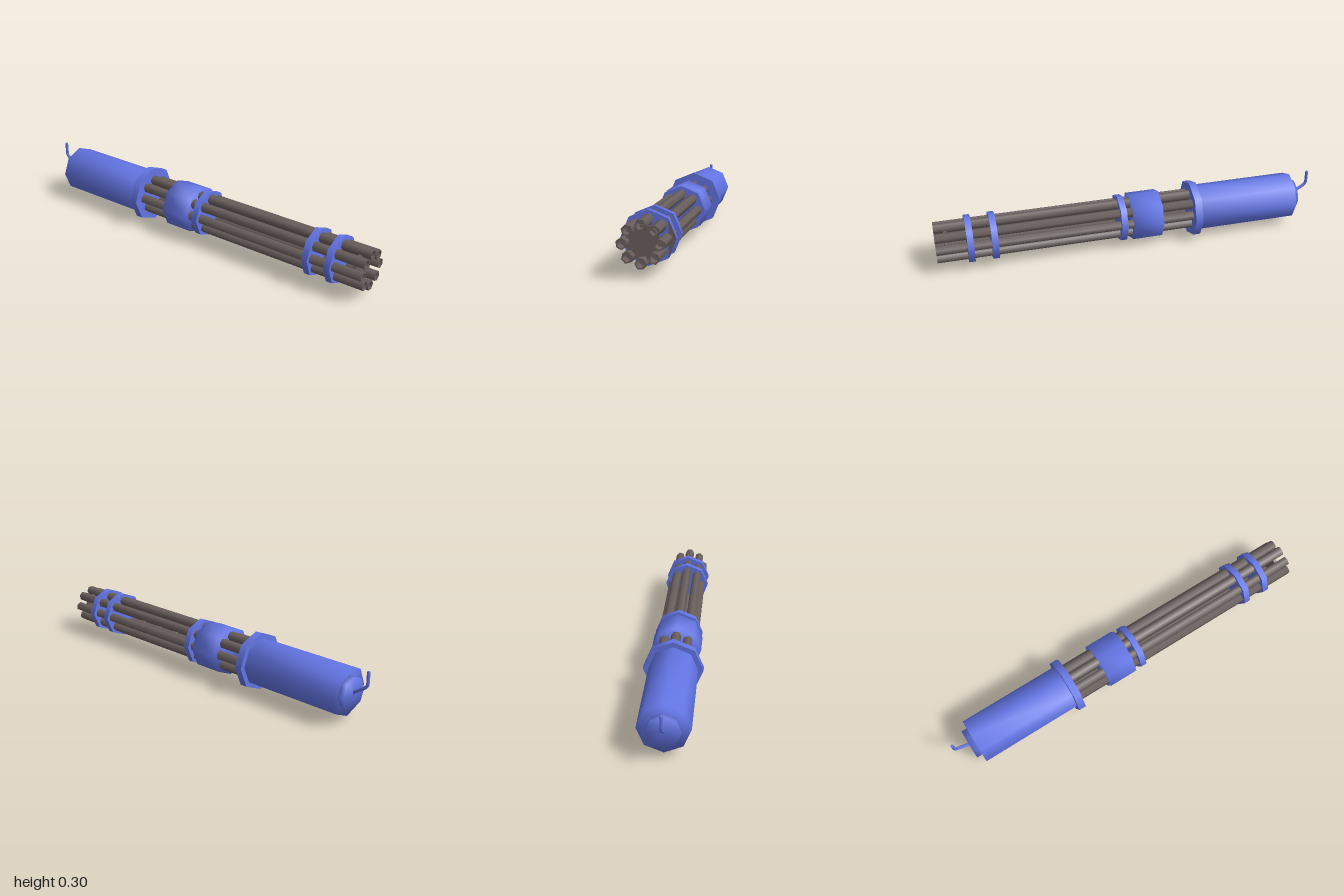
import * as THREE from 'three';
import { mergeVertices, mergeGeometries } from 'three/addons/utils/BufferGeometryUtils.js';

const AXIS_Y = 0.15;

export function createModel() {
  const model = new THREE.Group();
  model.name = 'rotaryBarrelGun';
  const blue = new THREE.MeshStandardMaterial({ color: 0x6375e4 });
  blue.name = 'bluePaint';
  const steel = new THREE.MeshStandardMaterial({ color: 0x6a605e, side: THREE.DoubleSide });
  steel.name = 'darkSteel';

  const add = (name, geometry, material, parent = model) => {
    const mesh = new THREE.Mesh(geometry, material);
    mesh.name = name;
    parent.add(mesh);
    return mesh;
  };

  // Cylinder lying along z between two depths
  const rod = (radius, z0, z1, sides = 8, open = false) =>
    new THREE.CylinderGeometry(radius, radius, z1 - z0, sides, 1, open)
      .rotateX(Math.PI / 2).translate(0, 0, (z0 + z1) / 2);

  // Weld all corners so the shading rolls over the edges
  const soften = (geometry) => {
    geometry.deleteAttribute('normal');
    geometry.deleteAttribute('uv');
    const welded = mergeVertices(geometry, 1e-4);
    welded.computeVertexNormals();
    return welded;
  };

  const gun = new THREE.Group();
  gun.name = 'gunBody';
  gun.position.y = AXIS_Y;
  model.add(gun);

  // Motor housing, flange and collar
  add('motorHousing', soften(rod(0.122, -0.89, -0.35)), blue, gun);
  add('rearCap', soften(rod(0.08, -0.92, -0.88)), blue, gun);
  add('flange', rod(0.148, -0.36, -0.322), blue, gun);
  add('collar', soften(rod(0.126, -0.155, 0)), blue, gun);

  // Clamp rings around the barrels
  for (const z of [0.05, 0.71, 0.83]) {
    add('clampRing', rod(0.123, z - 0.016, z + 0.016), blue, gun);
  }

  // Steel segment on the face of the front clamp
  const c = 0.123 * Math.SQRT1_2;
  const segment = new THREE.Shape([
    new THREE.Vector2(c, -c), new THREE.Vector2(0.123, 0), new THREE.Vector2(c, c),
  ]);
  add('clampSegment', new THREE.ShapeGeometry(segment).translate(0, 0, 0.847), steel, gun);

  // Thin disc holding the muzzles together
  add('muzzleDisc', rod(0.075, 0.937, 0.953, 16), steel, gun);

  // Eight hollow hexagonal barrels, each with a flat facing outward
  const R = 0.0255, BORE = 0.02;
  const barrel = mergeGeometries([
    rod(R, -0.34, 1, 6, true),
    rod(BORE, 0.94, 1, 6, true),
    new THREE.RingGeometry(BORE, R, 6, 1).rotateZ(Math.PI / 2).translate(0, 0, 1),
    new THREE.CircleGeometry(BORE, 6).rotateZ(Math.PI / 2).translate(0, 0, 0.94),
  ]).translate(0.081, 0, 0);
  for (let i = 0; i < 8; i++) {
    add('barrel', barrel, steel, gun).rotation.z = (i * Math.PI) / 4;
  }

  // Bent rear lever
  const points = [[0, -0.915], [0.01, -0.925], [0.05, -0.987], [0.065, -0.992], [0.126, -0.992]]
    .map(([y, z]) => new THREE.Vector3(0, y, z));
  const path = new THREE.CurvePath();
  for (let i = 1; i < points.length; i++) path.add(new THREE.LineCurve3(points[i - 1], points[i]));
  add('rearLever', new THREE.TubeGeometry(path, 16, 0.008, 8), blue, gun);
  add('leverTip', new THREE.CircleGeometry(0.008, 8).rotateX(-Math.PI / 2)
    .translate(0, 0.126, -0.992), blue, gun);

  return model;
}
